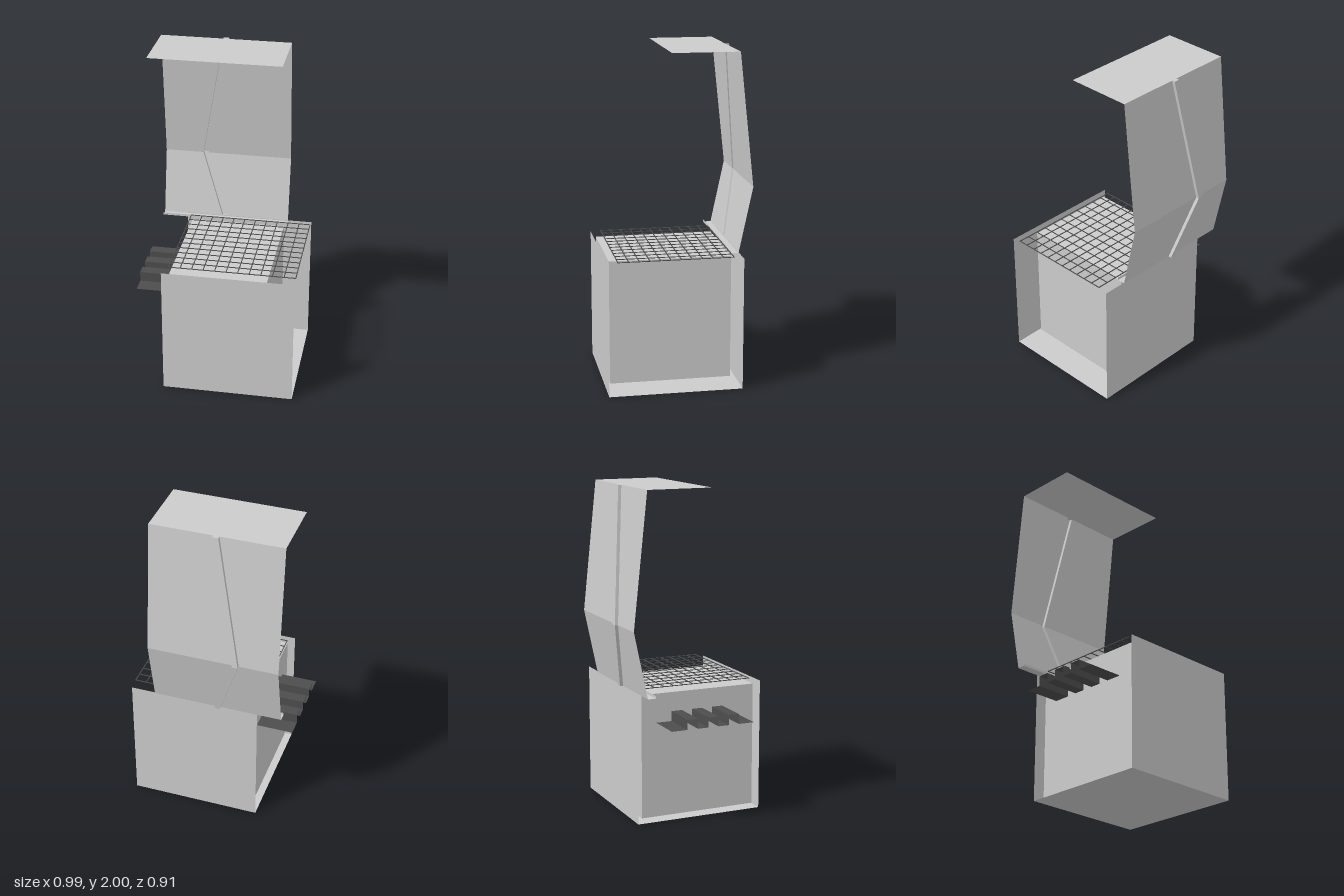
import * as THREE from 'three';

const grey = new THREE.MeshStandardMaterial({ color: 0xcccccc, side: THREE.DoubleSide, flatShading: true });
const dark = new THREE.MeshStandardMaterial({ color: 0x4d4d4d, side: THREE.DoubleSide, flatShading: true });

// Thin folded sheet spanned between rows of [x, y, z] points
function sheet(name, rows, material = grey) {
  const pos = [];
  for (let i = 0; i + 1 < rows.length; i++) {
    for (let j = 0; j + 1 < rows[i].length; j++) {
      const a = rows[i][j], b = rows[i][j + 1], c = rows[i + 1][j + 1], d = rows[i + 1][j];
      pos.push(...a, ...b, ...c, ...a, ...c, ...d);
    }
  }
  const geo = new THREE.BufferGeometry();
  geo.setAttribute('position', new THREE.Float32BufferAttribute(pos, 3));
  geo.computeVertexNormals();
  const mesh = new THREE.Mesh(geo, material);
  mesh.name = name;
  return mesh;
}

// Sheet with a [z, y] profile, running straight from x0 to x1
const fold = (name, profile, x0, x1, material) =>
  sheet(name, profile.map(([z, y]) => [[x0, y, z], [x1, y, z]]), material);

function box(name, x0, x1, y0, y1, z0, z1, material = grey) {
  const mesh = new THREE.Mesh(new THREE.BoxGeometry(x1 - x0, y1 - y0, z1 - z0), material);
  mesh.position.set((x0 + x1) / 2, (y0 + y1) / 2, (z0 + z1) / 2);
  mesh.name = name;
  return mesh;
}

export function createModel() {
  const model = new THREE.Group();
  model.name = 'boxWithLid';

  // Outer casing: front, floor and back sheets, open at the sides and top
  model.add(fold('outerCasing', [[0.455, 0.805], [0.455, 0], [-0.35, 0], [-0.35, 0.805]], -0.31, 0.49));

  // Inner box
  model.add(box('innerBox', -0.27, 0.32, 0.02, 0.78, -0.31, 0.427));

  // Wire grille on top
  const grille = new THREE.Group();
  grille.name = 'grille';
  const gx0 = -0.277, gx1 = 0.491, gz0 = -0.292, gz1 = 0.399, n = 11, t = 0.005;
  for (let i = 0; i <= n; i++) {
    const x = gx0 + (gx1 - t - gx0) * i / n;
    const z = gz0 + (gz1 - t - gz0) * i / n;
    grille.add(box('grilleBarLong', x, x + t, 0.816, 0.82, gz0, gz1, dark));
    grille.add(box('grilleBarCross', gx0, gx1, 0.816, 0.82, z, z + t, dark));
  }
  model.add(grille);

  // Corrugated side shelf
  const ridges = [-0.215];
  const profile = [];
  for (let i = 0; i < 6; i++) ridges.push(-0.115 + i * 0.067);
  ridges.push(0.32);
  for (let i = 0; i < 7; i++) {
    const y = i % 2 ? 0.663 : 0.602;
    profile.push([ridges[i], y], [ridges[i + 1], y]);
  }
  model.add(fold('sideShelf', profile, -0.495, -0.27, dark));

  // Raised lid: bent back sheet with a pressed groove that shows as a rib behind
  const lid = new THREE.Group();
  lid.name = 'lid';
  const L = -0.46, R = 0.34, w = 0.035, d = 0.02;
  const bends = [[0.8, -0.35, -0.083], [1.2, -0.435, -0.221], [2, -0.35, -0.078]];
  lid.add(sheet('lidBack', bends.map(([y, z, g]) => [
    [L, y, z], [g, y, z], [g, y, z - d], [g + w, y, z - d], [g + w, y, z], [R, y, z],
  ])));
  // Groove ends
  for (const [y, z, g] of [bends[0], bends[2]]) {
    lid.add(fold('grooveEnd', [[z - d, y], [z, y]], g, g + w));
  }
  // Top flap and bottom lip
  lid.add(fold('lidTop', [[-0.35, 2], [0.052, 2]], L, R));
  lid.add(fold('lidLip', [[-0.35, 0.8], [-0.3, 0.8], [-0.3, 0.815]], L, R));
  model.add(lid);

  return model;
}
